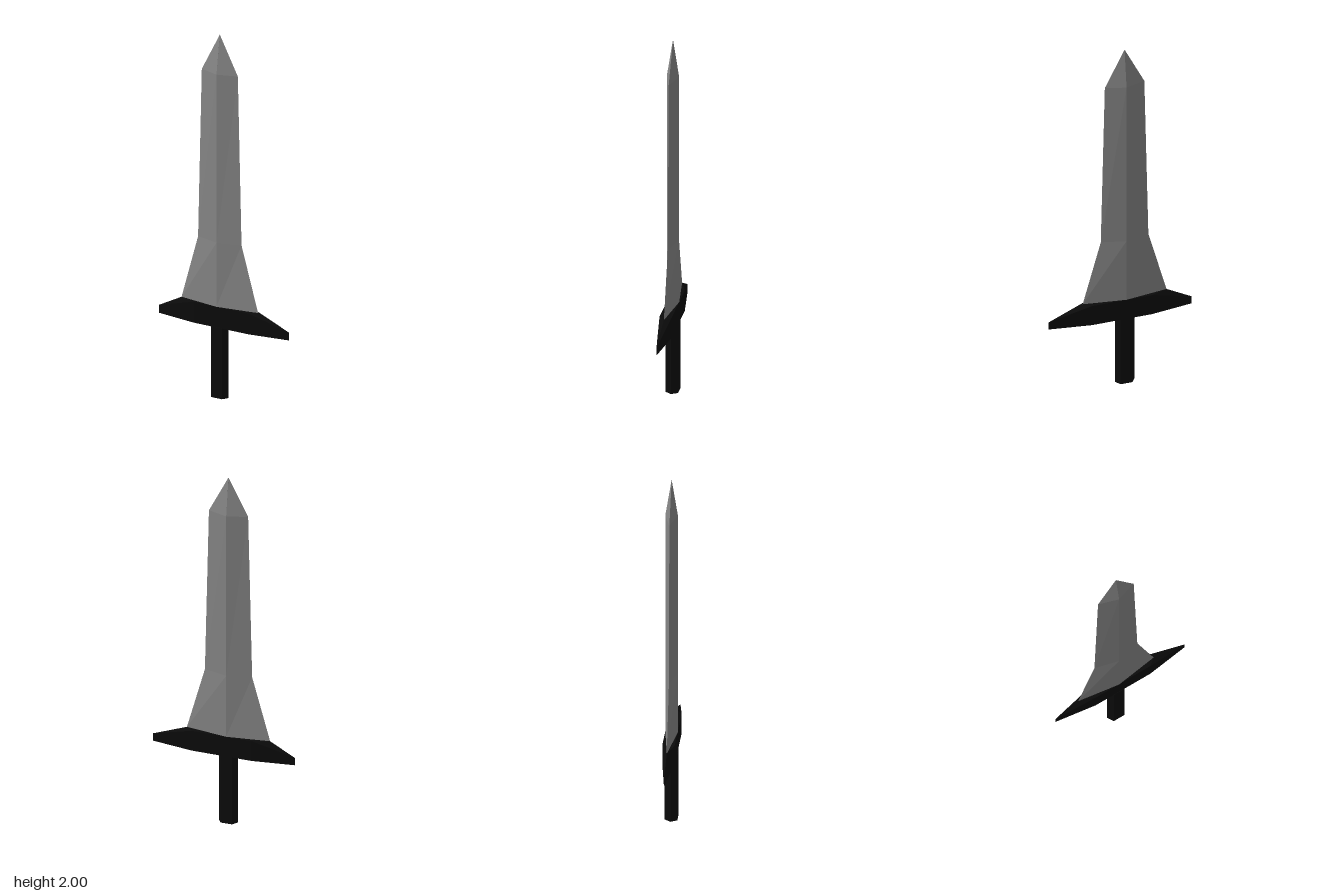
import * as THREE from 'three';
import { ConvexGeometry } from 'three/addons/geometries/ConvexGeometry.js';

const CX = -0.025; // blade and grip axis
const TILT = -0.022; // the flat of the sword is turned slightly

const point = (x, y, z) => new THREE.Vector3(x, y, z + TILT * x);

// Joins rings of points (counter-clockwise seen from above) into a closed faceted solid
function loft(rings) {
  const pos = [];
  const tri = (...v) => v.forEach((p) => pos.push(p.x, p.y, p.z));
  const n = rings[0].length;
  for (let r = 0; r < rings.length - 1; r++) {
    for (let i = 0; i < n; i++) {
      const j = (i + 1) % n;
      tri(rings[r][i], rings[r][j], rings[r + 1][j]);
      tri(rings[r][i], rings[r + 1][j], rings[r + 1][i]);
    }
  }
  const bottom = rings[0], top = rings[rings.length - 1];
  for (let i = 1; i < n - 1; i++) {
    tri(bottom[0], bottom[i + 1], bottom[i]);
    tri(top[0], top[i], top[i + 1]);
  }
  const geometry = new THREE.BufferGeometry();
  geometry.setAttribute('position', new THREE.Float32BufferAttribute(pos, 3));
  geometry.computeVertexNormals();
  return geometry;
}

export function createModel() {
  const steel = new THREE.MeshStandardMaterial({ color: 0x868686, flatShading: true });
  steel.name = 'steel';
  const black = new THREE.MeshStandardMaterial({ color: 0x0b0b0b, flatShading: true });
  black.name = 'black';

  const sword = new THREE.Group();
  sword.name = 'sword';
  const add = (name, geometry, material) => {
    const mesh = new THREE.Mesh(geometry, material);
    mesh.name = name;
    sword.add(mesh);
  };

  // Blade: diamond sections as [height, half width, half thickness]
  const sections = [[0.505, 0.229, 0.033], [0.86, 0.13, 0.033], [1.79, 0.108, 0.033], [2, 0.0005, 0.0005]];
  add('blade', loft(sections.map(([y, w, t]) => [
    point(CX - w, y, 0), point(CX, y, t), point(CX + w, y, 0), point(CX, y, -t),
  ])), steel);

  // Guard: long hexagon whose top slopes down to the pointed ends
  const guard = [point(CX - 0.229, 0.505, 0), point(CX + 0.229, 0.505, 0)];
  for (const side of [-1, 1]) {
    guard.push(point(side * 0.39, 0.39, 0), point(side * 0.39, 0.433, 0));
    for (const z of [-0.033, 0.031]) {
      guard.push(point(side * 0.165, 0.39, z), point(side * 0.165, 0.505, z));
    }
  }
  add('guard', new ConvexGeometry(guard), black);

  // Grip: six-sided bar
  add('grip', loft([0, 0.392].map((y) => [
    point(CX - 0.053, y, 0), point(CX - 0.032, y, 0.033), point(CX + 0.032, y, 0.033),
    point(CX + 0.053, y, 0), point(CX + 0.032, y, -0.033), point(CX - 0.032, y, -0.033),
  ])), black);

  return sword;
}
